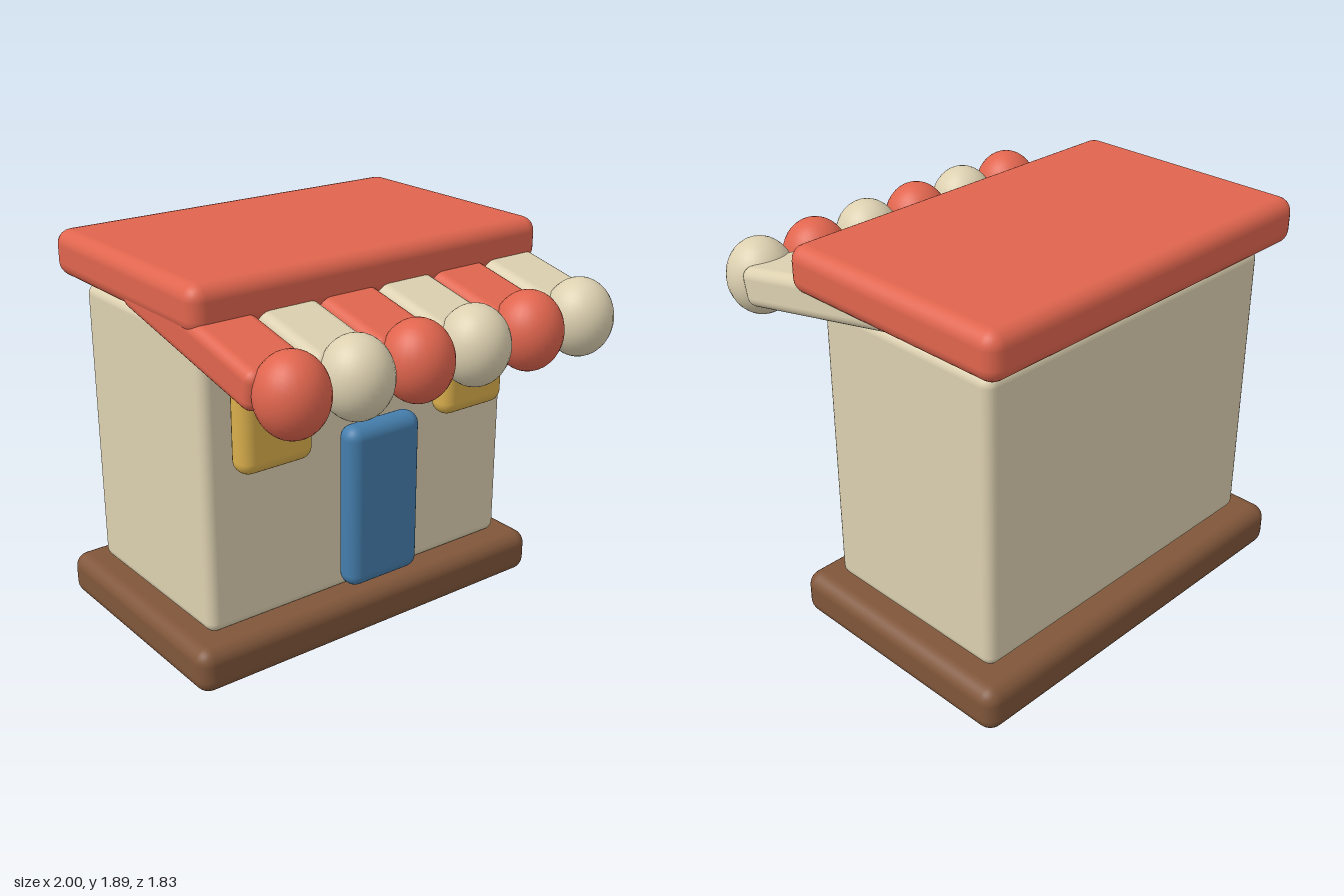
import * as THREE from 'three';
import { RoundedBoxGeometry } from 'three/addons/geometries/RoundedBoxGeometry.js';

const paint = (name, color) => Object.assign(new THREE.MeshStandardMaterial({ color }), { name });

export function createModel() {
  const red = paint('red', 0xe0654e);
  const cream = paint('cream', 0xdcd0b0);
  const brown = paint('brown', 0x80563a);
  const blue = paint('blue', 0x447dab);
  const yellow = paint('yellow', 0xd9ae4c);

  const model = new THREE.Group();
  model.name = 'shop';

  // Rounded box given by its [min, max] range on each axis
  function block(name, material, [x0, x1], [y0, y1], [z0, z1], radius) {
    const geometry = new RoundedBoxGeometry(x1 - x0, y1 - y0, z1 - z0, 3, radius);
    const mesh = new THREE.Mesh(geometry, material);
    mesh.name = name;
    mesh.position.set((x0 + x1) / 2, (y0 + y1) / 2, (z0 + z1) / 2);
    model.add(mesh);
  }

  // Building
  block('base', brown, [-1, 1], [0, 0.22], [-0.915, 0.33], 0.07);
  block('walls', cream, [-0.875, 0.875], [0.22, 1.64], [-0.79, 0.205], 0.05);
  block('roof', red, [-0.965, 0.965], [1.67, 1.89], [-0.9, 0.31], 0.07);

  // Door and the two windows stand proud of the front wall
  block('door', blue, [-0.175, 0.24], [0.27, 1.085], [0.205, 0.34], 0.062);
  block('rightWindow', yellow, [-0.76, -0.375], [1.01, 1.42], [0.205, 0.34], 0.062);
  block('leftWindow', yellow, [0.375, 0.76], [1.01, 1.42], [0.205, 0.34], 0.062);

  // Striped awning: sloping slats, each ending in a slightly tall ball
  const slatGeometry = new RoundedBoxGeometry(0.312, 0.186, 1.0, 3, 0.05);
  const ballGeometry = new THREE.SphereGeometry(1, 28, 20);
  for (let i = 0; i < 6; i++) {
    const material = i % 2 ? cream : red;
    const x = -0.802 + i * 0.3168;

    const slat = new THREE.Mesh(slatGeometry, material);
    slat.name = 'awningSlat';
    slat.position.set(x, 1.657, 0.205);
    slat.rotation.x = 0.21;
    model.add(slat);

    const ball = new THREE.Mesh(ballGeometry, material);
    ball.name = 'awningBall';
    ball.position.set(x, 1.547, 0.757);
    ball.scale.set(0.157, 0.182, 0.16);
    model.add(ball);
  }

  return model;
}
